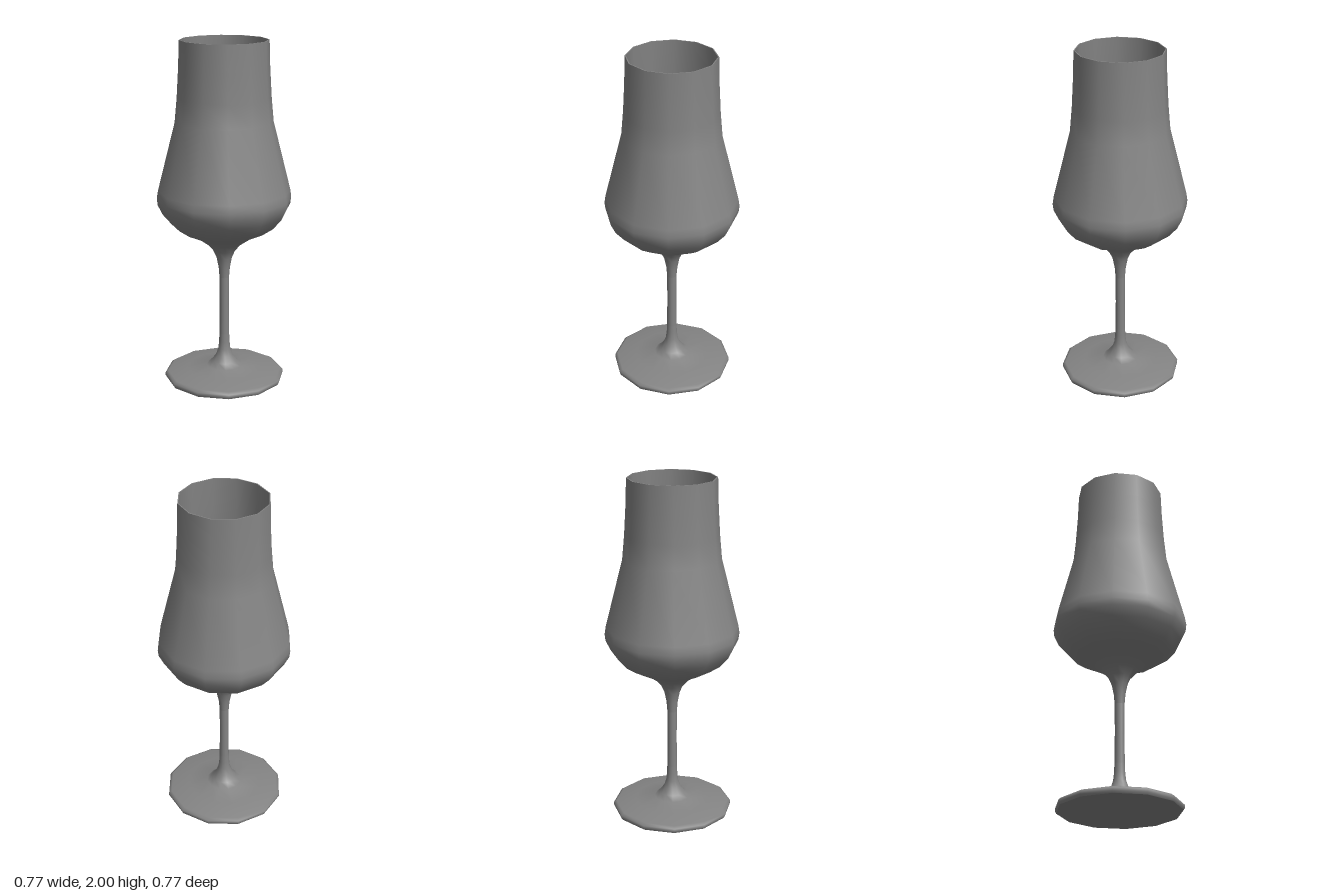
import * as THREE from 'three';

const SIDES = 12;
const material = new THREE.MeshStandardMaterial({ color: 0x848484 });

// Revolve a profile of [radius, height] pairs; separate profiles keep edges sharp
function turned(name, profile) {
  const points = profile.map(([r, y]) => new THREE.Vector2(r, y));
  const geometry = new THREE.LatheGeometry(points, SIDES);
  geometry.normalizeNormals(); // even shading at the profile ends
  const mesh = new THREE.Mesh(geometry, material);
  mesh.name = name;
  return mesh;
}

export function createModel() {
  const glass = new THREE.Group();
  glass.name = 'wineGlass';

  // Foot: flat underside, rounded edge, gentle rise into the stem
  glass.add(turned('footUnderside', [[0, 0], [0.345, 0]]));
  glass.add(turned('foot', [
    [0.345, 0], [0.352, 0.012], [0.352, 0.028], [0.335, 0.04], [0.22, 0.058],
    [0.105, 0.073], [0.075, 0.1], [0.05, 0.135], [0.036, 0.175], [0.031, 0.22], [0.029, 0.27],
  ]));

  // Slim stem
  glass.add(turned('stem', [[0.029, 0.27], [0.027, 0.45], [0.028, 0.62]]));

  // Bowl: flares from the stem, widest low down, narrowing to the rim
  glass.add(turned('bowlOuter', [
    [0.028, 0.62], [0.033, 0.68], [0.045, 0.74], [0.065, 0.785], [0.1, 0.825],
    [0.16, 0.867], [0.24, 0.903], [0.305, 0.947], [0.355, 1.005], [0.382, 1.06],
    [0.387, 1.1], [0.38, 1.145], [0.28, 1.54], [0.267, 1.68], [0.257, 1.85], [0.252, 2],
  ]));
  glass.add(turned('rim', [[0.252, 2], [0.246, 2]]));
  glass.add(turned('bowlInner', [
    [0.246, 2], [0.251, 1.85], [0.261, 1.68], [0.274, 1.54], [0.373, 1.145],
    [0.38, 1.1], [0.375, 1.063], [0.348, 1.011], [0.3, 0.956], [0.237, 0.913],
    [0.155, 0.877], [0.09, 0.859], [0, 0.85],
  ]));

  return glass;
}
